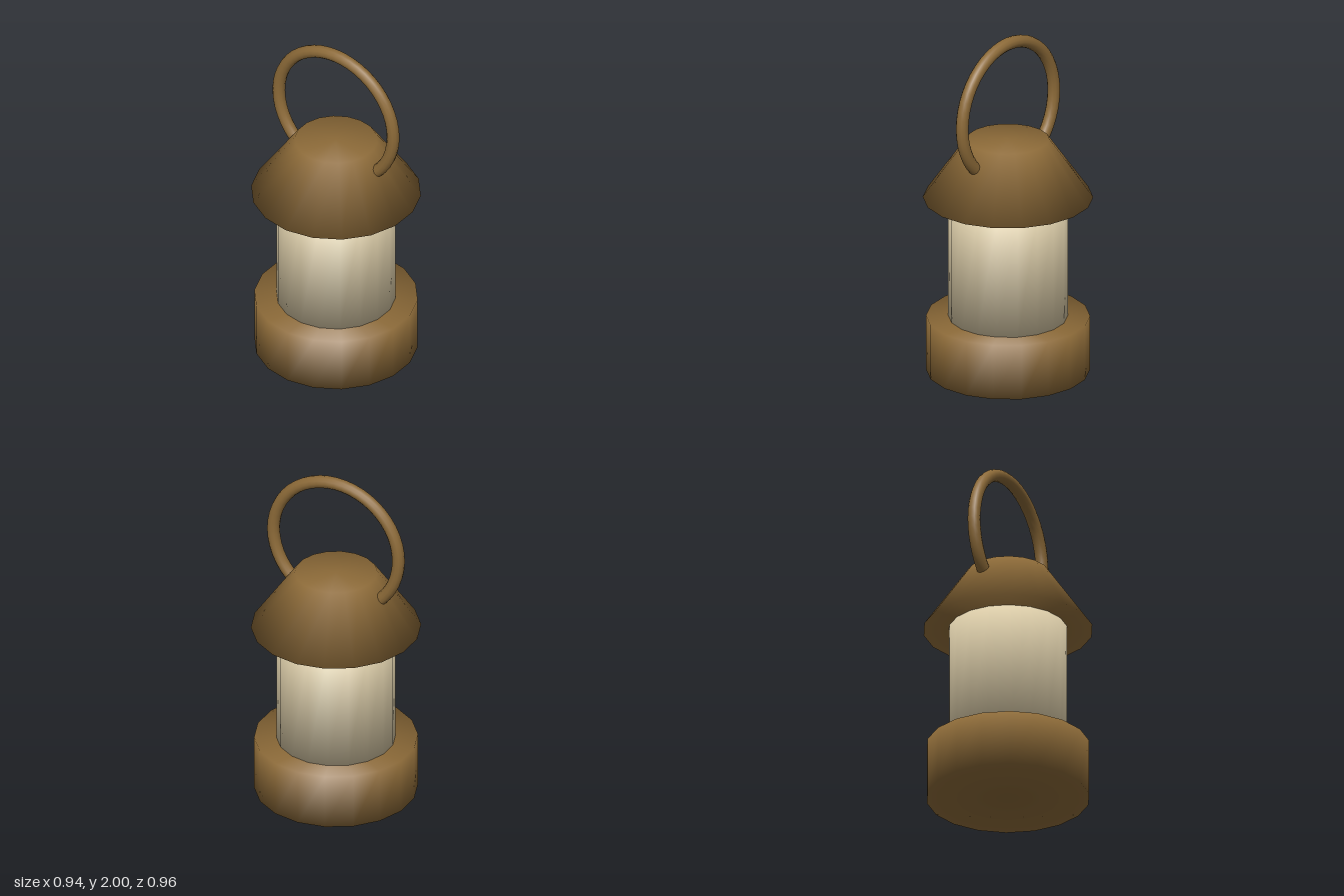
import * as THREE from 'three';

const SIDES = 18;

// Closed frustum whose shading runs smoothly over its rims, as one soft surface
function softFrustum(rTop, rBottom, y0, y1) {
  const height = y1 - y0;
  const geometry = new THREE.CylinderGeometry(rTop, rBottom, height, SIDES);
  const { position, normal } = geometry.attributes;
  const side = new THREE.Vector2(height, rBottom - rTop).normalize();
  const n = new THREE.Vector3();
  for (let i = 0; i < position.count; i++) {
    const x = position.getX(i), z = position.getZ(i);
    const up = Math.sign(position.getY(i));
    const r = Math.hypot(x, z);
    if (r < 1e-6) n.set(0, up, 0);
    else n.set(side.x * x / r, side.y + up, side.x * z / r).normalize();
    normal.setXYZ(i, n.x, n.y, n.z);
  }
  geometry.translate(0, (y0 + y1) / 2, 0);
  return geometry;
}

export function createModel() {
  const bronze = new THREE.MeshStandardMaterial({ color: 0x8c6a38 });
  bronze.name = 'bronze';
  const paleGlass = new THREE.MeshStandardMaterial({ color: 0xdccda9 });
  paleGlass.name = 'paleGlass';

  const lantern = new THREE.Group();
  lantern.name = 'lantern';
  const add = (name, geometry, material) => {
    const mesh = new THREE.Mesh(geometry, material);
    mesh.name = name;
    lantern.add(mesh);
    return mesh;
  };

  // Body, from the ground up
  add('base', softFrustum(0.46, 0.46, 0, 0.325), bronze);
  add('glass', softFrustum(0.335, 0.335, 0.315, 1.05), paleGlass);
  add('roof', softFrustum(0.232, 0.478, 1.04, 1.39), bronze);

  // Carrying ring, its lower part sunk into the roof
  const ring = add('handleRing', new THREE.TorusGeometry(0.396, 0.036, 12, 48), bronze);
  ring.position.y = 1.568;

  return lantern;
}
